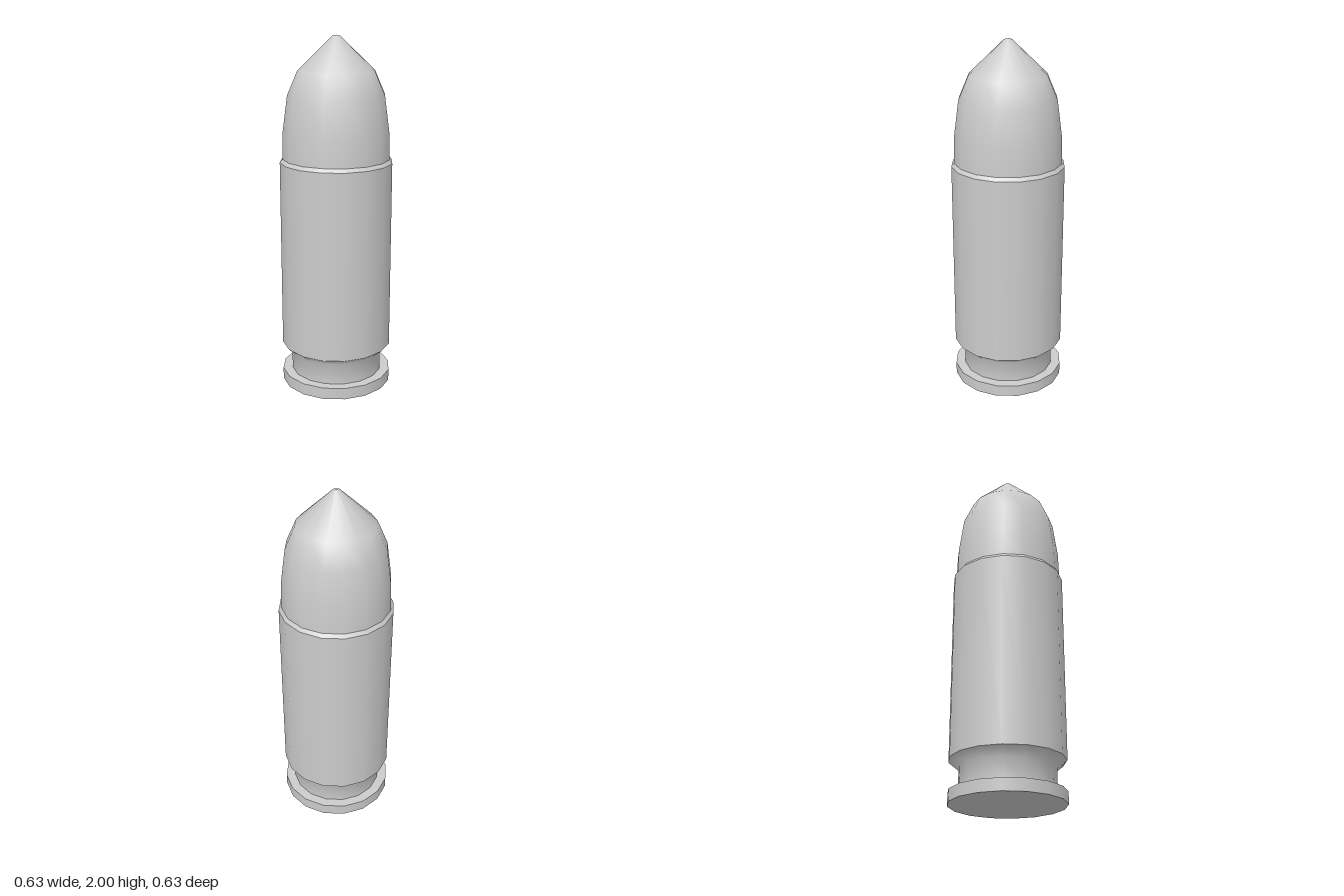
import * as THREE from 'three';

const SIDES = 16;

// Each part is a list of bands; normals are smooth within a band and sharp between bands.
function turned(name, bands) {
  const part = new THREE.Group();
  part.name = name;
  const material = new THREE.MeshStandardMaterial({ color: 0xcccccc });
  bands.forEach((profile, i) => {
    const points = profile.map(([r, y]) => new THREE.Vector2(r, y));
    const mesh = new THREE.Mesh(new THREE.LatheGeometry(points, SIDES), material);
    mesh.name = `${name}Band${i + 1}`;
    part.add(mesh);
  });
  return part;
}

export function createModel() {
  const model = new THREE.Group();
  model.name = 'cartridge';

  // Flat base disc with a short rim
  model.add(turned('rim', [
    [[0, 0], [0.317, 0]],
    [[0.317, 0], [0.317, 0.067]],
    [[0.317, 0.067], [0.262, 0.067]],
  ]));

  // Narrow groove flaring out to the case
  model.add(turned('extractorGroove', [
    [[0.262, 0.067], [0.262, 0.19], [0.317, 0.235]],
  ]));

  // Straight case with a chamfered mouth
  model.add(turned('case', [
    [[0.317, 0.235], [0.317, 1.31]],
    [[0.317, 1.31], [0.302, 1.33]],
  ]));

  // Ogive nose with a tiny flat tip
  model.add(turned('bullet', [
    [[0.302, 1.33], [0.298, 1.48], [0.271, 1.68], [0.215, 1.81], [0.022, 1.995], [0, 2]],
  ]));

  return model;
}
